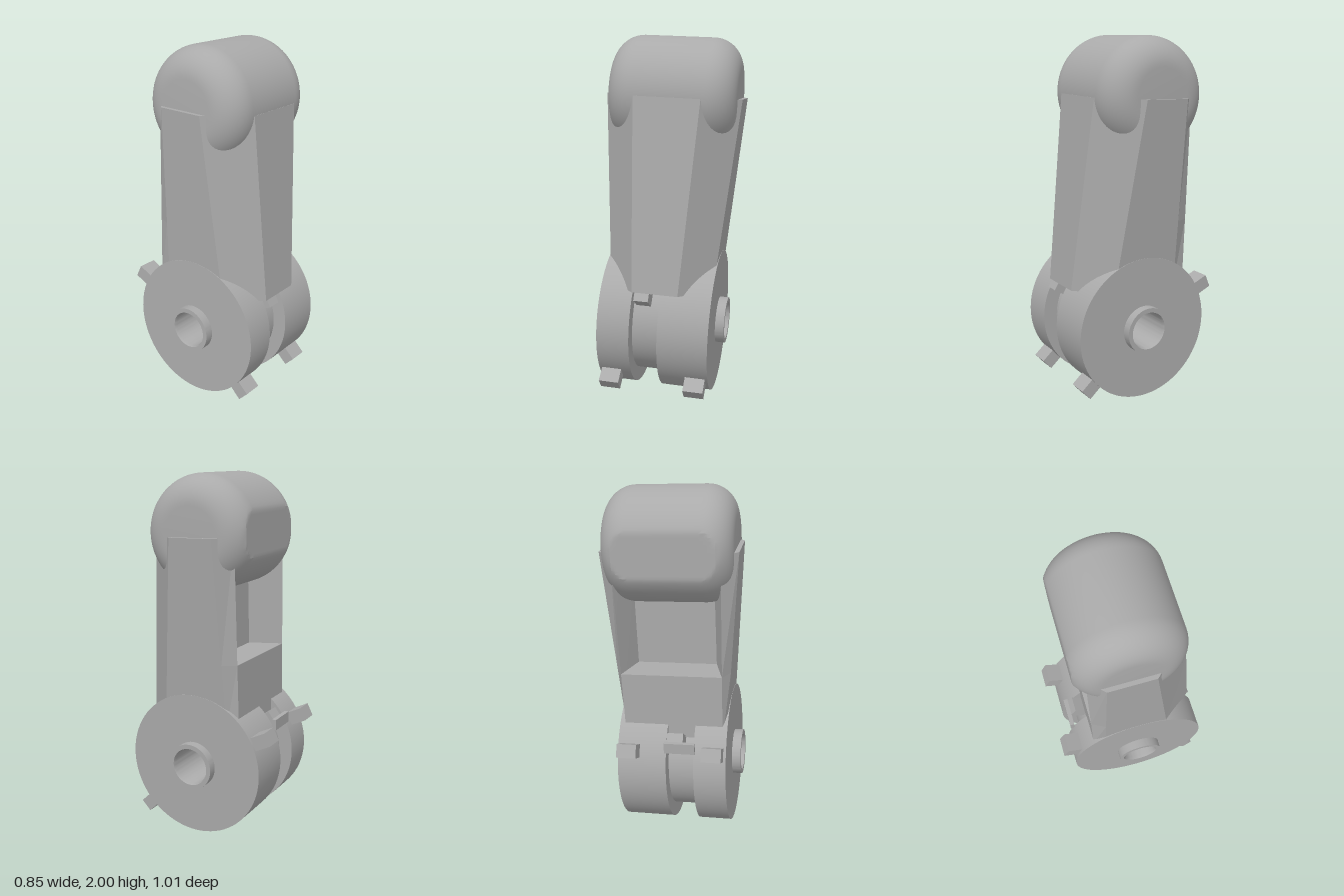
import * as THREE from 'three';
import { toCreasedNormals } from 'three/addons/utils/BufferGeometryUtils.js';

const grey = new THREE.MeshStandardMaterial({ color: 0xaaaaaa });
grey.name = 'plain grey';

function add(parent, name, geometry) {
  const mesh = new THREE.Mesh(geometry, grey);
  mesh.name = name;
  parent.add(mesh);
  return mesh;
}

// Turned part around the x axis; profile is [radius, x], running towards +x.
function turned(profile, segments = 80) {
  const g = new THREE.LatheGeometry(profile.map(p => new THREE.Vector2(...p)), segments);
  return g.rotateZ(-Math.PI / 2);
}

// Cross-section of the tapering arm at height y, as an outline of [x, z].
function armSection(y, pocket) {
  const t = (y - 0.2) / 1.05;
  const mix = (a, b) => a + (b - a) * t;
  const half = [
    [mix(0.125, 0.18), mix(0.365, 0.272)],
    [mix(0.287, 0.375), mix(0.19, 0.07)],
    [mix(0.287, 0.375), mix(-0.2, -0.185)],
    [mix(0.275, 0.29), -0.27],
  ];
  if (pocket) half.push([0.225, -0.08]);
  return [...half, ...half.map(([x, z]) => [-x, z]).reverse()];
}

// Solid skinned between two arm sections, with both ends closed.
function armPiece(y0, y1, pocket) {
  const low = armSection(y0, pocket), high = armSection(y1, pocket);
  const n = low.length, pos = [], index = [];
  low.forEach(([x, z]) => pos.push(x, y0, z));
  high.forEach(([x, z]) => pos.push(x, y1, z));
  for (let i = 0; i < n; i++) {
    const j = (i + 1) % n;
    index.push(i, j, n + j, i, n + j, n + i);
  }
  const outline = low.map(([x, z]) => new THREE.Vector2(x, -z));
  for (const [a, b, c] of THREE.ShapeUtils.triangulateShape(outline, [])) {
    index.push(n + a, n + b, n + c, c, b, a);
  }
  const g = new THREE.BufferGeometry();
  g.setAttribute('position', new THREE.Float32BufferAttribute(pos, 3));
  g.setIndex(index);
  return toCreasedNormals(g, 0.15);
}

// Block set radially on the drum; the angle is measured up from the front.
function peg(parent, name, x, degrees, radius, width, tall, deep) {
  const a = THREE.MathUtils.degToRad(degrees);
  const mesh = add(parent, name, new THREE.BoxGeometry(width, tall, deep));
  mesh.position.set(x, radius * Math.sin(a), radius * Math.cos(a));
  mesh.rotation.x = -a;
}

export function createModel() {
  const model = new THREE.Group();
  model.name = 'fingerSegment';
  const body = new THREE.Group();
  body.name = 'tiltedBody';
  body.position.set(-0.014, 0.413, 0.022);
  body.rotation.set(0, 0.33, -0.045, 'YXZ');
  model.add(body);

  // Hinge drum with a cable groove, raised hubs and a through hole
  add(body, 'hingeDrum', toCreasedNormals(turned([
    [0.1, -0.34], [0.105, -0.355], [0.13, -0.355], [0.13, -0.305], [0.4, -0.305],
    [0.4, -0.125], [0.32, -0.125], [0.32, 0.03], [0.4, 0.03], [0.4, 0.305],
    [0.13, 0.305], [0.13, 0.355], [0.105, 0.355], [0.1, 0.34], [0.1, -0.34],
  ]), 0.4));

  // Arm: solid below, with an open pocket at the back above
  add(body, 'lowerArm', armPiece(0.22, 0.59, false));
  add(body, 'upperArm', armPiece(0.59, 1.26, true));

  // Rounded knuckle with a flat at the back
  const R = 0.313, halfWidth = 0.352, round = 0.16;
  const profile = [[0, -halfWidth]];
  const steps = 12;
  for (const side of [-1, 1]) {
    for (let i = 0; i <= steps; i++) {
      const a = (side < 0 ? i : steps - i) / steps * Math.PI / 2;
      profile.push([R - round + round * Math.sin(a),
        side * (halfWidth - round + round * Math.cos(a))]);
    }
  }
  profile.push([0, halfWidth]);
  const knuckle = turned(profile, 96);
  const p = knuckle.attributes.position;
  for (let i = 0; i < p.count; i++) p.setZ(i, Math.max(p.getZ(i), -0.287));
  knuckle.translate(0, 1.27, -0.043);
  add(body, 'knuckle', toCreasedNormals(knuckle, 0.35));

  // Band pegs, front and back, on both drum halves
  for (const x of [-0.235, 0.235]) {
    peg(body, 'frontPeg', x, -43, 0.43, 0.11, 0.075, 0.1);
    peg(body, 'backPeg', x, 155, 0.435, 0.11, 0.075, 0.11);
  }

  // Stops and a thin bridge inside the groove
  peg(body, 'frontStop', -0.07, 30, 0.37, 0.08, 0.07, 0.1);
  peg(body, 'backStop', -0.02, 145, 0.37, 0.09, 0.07, 0.1);
  const bar = add(body, 'grooveBridge', new THREE.BoxGeometry(0.17, 0.06, 0.025));
  bar.position.set(-0.047, 0.2, -0.365);

  return model;
}
